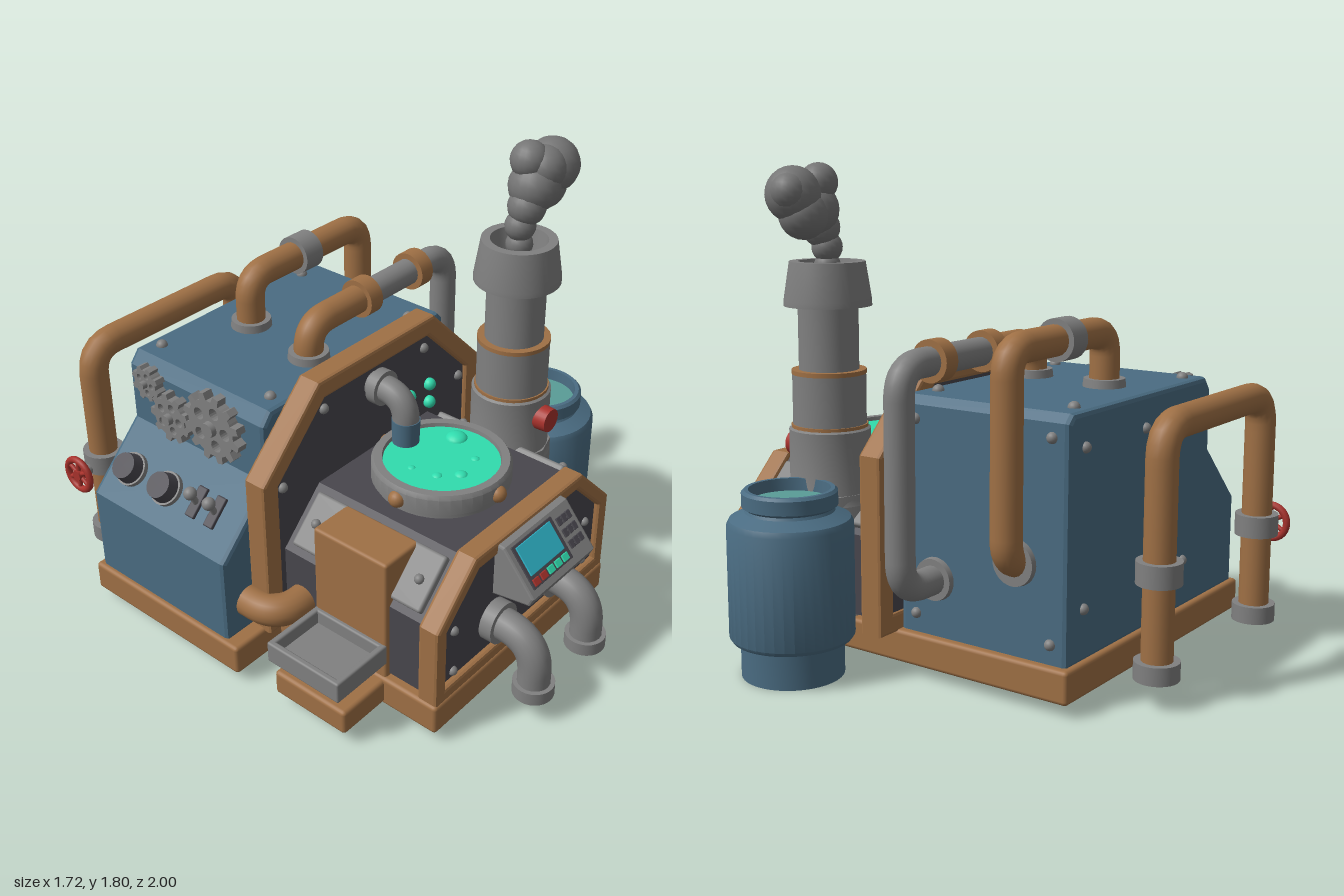
import * as THREE from 'three';
import { toCreasedNormals } from 'three/addons/utils/BufferGeometryUtils.js';
import { RoundedBoxGeometry } from 'three/addons/geometries/RoundedBoxGeometry.js';

const V = (x, y, z) => new THREE.Vector3(x, y, z);
const mat = (name, color, side = THREE.FrontSide) => {
  const m = new THREE.MeshStandardMaterial({ color, side });
  m.name = name;
  return m;
};

export function createModel() {
  const root = new THREE.Group();
  const brown = mat('copper brown', 0x9f7045), blue = mat('steel blue', 0x4a6c82);
  const grey = mat('iron grey', 0x808080, THREE.DoubleSide), dark = mat('dark panel', 0x48464d);
  const green = mat('glowing green', 0x30dcae), red = mat('valve red', 0xa8322c);
  const cyan = mat('screen cyan', 0x2fb4c8), murky = mat('murky teal', 0x5a9c97);
  const smokeGrey = mat('smoke grey', 0x757575);

  const add = (name, geo, m, x = 0, y = 0, z = 0, parent = root) => {
    const mesh = new THREE.Mesh(geo, m);
    mesh.name = name;
    mesh.position.set(x, y, z);
    parent.add(mesh);
    return mesh;
  };
  // rounded box given by its minimum and maximum corners
  const box = (name, m, x0, x1, y0, y1, z0, z1, r = 0.015, parent = root) =>
    add(name, new RoundedBoxGeometry(x1 - x0, y1 - y0, z1 - z0, 2, r), m,
      (x0 + x1) / 2, (y0 + y1) / 2, (z0 + z1) / 2, parent);
  // cylinder centred on a point, along an axis
  const cyl = (name, m, r0, r1, h, p, axis = V(0, 1, 0), parent = root, sides = 28) => {
    const mesh = add(name, new THREE.CylinderGeometry(r1, r0, h, sides), m, ...p, parent);
    mesh.quaternion.setFromUnitVectors(V(0, 1, 0), axis.clone().normalize());
    return mesh;
  };
  const lathe = (name, m, pts, x, y, z, sides = 40) =>
    add(name, toCreasedNormals(new THREE.LatheGeometry(pts.map(p => new THREE.Vector2(...p)), sides), 0.6), m, x, y, z);
  const ball = (name, m, r, x, y, z, parent = root) =>
    add(name, new THREE.SphereGeometry(r, 18, 12), m, x, y, z, parent);
  const extrude = (name, m, shape, z0, z1, bevel = 0, parent = root) => {
    const geo = new THREE.ExtrudeGeometry(shape, {
      depth: z1 - z0 - 2 * bevel, bevelEnabled: bevel > 0, bevelThickness: bevel,
      bevelSize: bevel, bevelOffset: -bevel, bevelSegments: 2, curveSegments: 8 });
    return add(name, geo, m, 0, 0, z0 + bevel, parent);
  };
  const poly = pts => pts.map(p => new THREE.Vector2(...p));
  // pipe through corner points, each corner rounded
  const pipe = (name, m, pts, r, bend = 0.12) => {
    const path = new THREE.CurvePath();
    let from = pts[0];
    for (let i = 1; i < pts.length - 1; i++) {
      const c = pts[i];
      const a = c.clone().add(pts[i - 1].clone().sub(c).setLength(bend));
      const b = c.clone().add(pts[i + 1].clone().sub(c).setLength(bend));
      if (from.distanceTo(a) > 1e-4) path.add(new THREE.LineCurve3(from, a));
      path.add(new THREE.QuadraticBezierCurve3(a, c, b));
      from = b;
    }
    path.add(new THREE.LineCurve3(from, pts[pts.length - 1]));
    return add(name, new THREE.TubeGeometry(path, 70, r, 18), m);
  };
  const X = V(1, 0, 0), Z = V(0, 0, 1);

  // Base slabs
  box('rearBase', brown, -0.85, 0.43, 0.05, 0.17, -0.745, 0.03);
  box('frontBase', brown, -0.62, 0.43, 0.05, 0.17, 0, 0.76);
  box('trayBase', brown, -0.83, -0.55, 0.06, 0.16, 0.2, 0.53);

  // Rear housing with sloped console on its side
  extrude('rearHousing', blue, new THREE.Shape(poly([[-0.83, 0.16], [0.4, 0.16], [0.4, 0.99], [0.37, 1.02],
    [-0.56, 1.02], [-0.6, 0.97], [-0.6, 0.74], [-0.83, 0.51]])), -0.725, -0.03, 0.018);
  for (const z of [-0.66, -0.1]) {
    for (const x of [-0.49, 0.27]) ball('roofRivet', grey, 0.022, x, 1.02, z);
    for (const y of [0.24, 0.94]) ball('sideRivet', grey, 0.02, 0.4, y, z);
  }
  for (const x of [-0.4, -0.1, 0.3]) for (const y of [0.35, 0.9]) ball('backRivet', grey, 0.02, x, y, -0.725);

  // Console knobs and levers
  const slope = V(-0.71, 0.71, 0);
  for (const z of [-0.6, -0.41]) {
    cyl('knobCollar', grey, 0.065, 0.065, 0.025, [-0.735, 0.615, z], slope);
    cyl('knob', dark, 0.06, 0.05, 0.06, [-0.755, 0.635, z], slope);
  }
  for (const z of [-0.26, -0.165]) {
    const b = box('leverPlate', dark, -0.8, -0.68, 0.6, 0.62, z - 0.022, z + 0.022, 0.005);
    b.rotation.z = Math.PI / 4;
    b.position.set(-0.725, 0.62, z);
    cyl('leverStick', grey, 0.012, 0.012, 0.07, [-0.74, 0.645, z], V(-0.4, 0.9, 0));
    ball('leverKnob', grey, 0.025, -0.755, 0.675, z);
  }

  // Gears on the console wall
  const gear = (z, y, r, teeth) => {
    const pts = [];
    for (let i = 0; i < teeth; i++) {
      [[0, 0.8], [0.25, 0.8], [0.35, 1], [0.7, 1], [0.85, 0.8]].forEach(([t, k]) => {
        const a = (i + t) / teeth * Math.PI * 2;
        pts.push([Math.cos(a) * r * k, Math.sin(a) * r * k]);
      });
    }
    const shape = new THREE.Shape(poly(pts));
    for (let i = 0; i < 5; i++) {
      const a = i / 5 * Math.PI * 2;
      shape.holes.push(new THREE.Path().absarc(Math.cos(a) * r * 0.5, Math.sin(a) * r * 0.5, r * 0.17, 0, 7, true));
    }
    const g = new THREE.Group();
    g.name = 'gear';
    extrude('gearDisc', grey, shape, 0, 0.04, 0, g);
    cyl('gearHub', grey, r * 0.25, r * 0.2, 0.06, [0, 0, 0.03], Z, g);
    g.rotation.y = -Math.PI / 2;
    g.position.set(-0.605, y, z);
    root.add(g);
  };
  gear(-0.25, 0.9, 0.14, 12);
  gear(-0.47, 0.85, 0.1, 9);
  gear(-0.59, 0.95, 0.07, 8);

  // Chamfered profile, optionally inset by t, centred on x = -0.09
  const profile = (w, y1, c, t = 0) => {
    const k = 0.41 * t, y0 = 0.16 + t;
    const half = [[w - t, y0], [w - t, y1 - c - k], [w - c - k, y1 - t]];
    return poly([...half.map(([x, y]) => [x - 0.09, y]), ...half.reverse().map(([x, y]) => [-x - 0.09, y])]);
  };
  const frame = (name, w, y1, c, t, z0, z1) => {
    const s = new THREE.Shape(profile(w, y1, c));
    s.holes.push(new THREE.Path(profile(w, y1, c, t)));
    extrude(name, brown, s, z0, z1, 0.012);
  };

  // Dividing wall and front housing, each dark inside a copper frame
  frame('wallFrame', 0.61, 1.1, 0.29, 0.075, -0.035, 0.06);
  extrude('wallPanel', dark, new THREE.Shape(profile(0.61, 1.1, 0.29, 0.05)), -0.025, 0.04);
  frame('frontFrame', 0.52, 0.69, 0.2, 0.055, 0.67, 0.755);
  extrude('frontHousing', dark, new THREE.Shape(profile(0.52, 0.69, 0.2, 0.02)), 0.03, 0.73);
  for (const s of [-1, 1]) {
    for (const y of [0.24, 0.42]) ball('frontRivet', grey, 0.018, -0.09 + s * 0.4, y, 0.73);
    ball('wallRivet', grey, 0.02, -0.09 + s * 0.28, 0.97, 0.04);
    ball('wallRivet', grey, 0.02, -0.09 + s * 0.5, 0.75, 0.04);
    // riveted plates on the sloped shoulders
    const plate = box('shoulderPlate', grey, 0, 0.21, 0, 0.04, 0.07, 0.655, 0.01);
    plate.position.x = -0.09 + s * 0.41;
    plate.position.y = 0.58;
    plate.rotation.z = -s * Math.PI / 4;
    for (const z of [0.13, 0.6]) ball('plateRivet', grey, 0.018, -0.09 + s * 0.43, 0.595, z);
  }
  for (const [x, y] of [[0.1, 0.8], [0.22, 0.8], [0.1, 0.72], [0.22, 0.72]]) ball('wallLamp', green, 0.025, x, y, 0.05);

  // Chute and output tray
  box('chute', brown, -0.61, -0.43, 0.15, 0.665, 0.2, 0.53, 0.012);
  box('trayFloor', grey, -0.86, -0.6, 0.23, 0.26, 0.2, 0.53, 0.008);
  for (const z of [0.2, 0.505]) box('traySide', grey, -0.86, -0.6, 0.23, 0.315, z, z + 0.025, 0.008);
  for (const x of [-0.86, -0.625]) box('trayEnd', grey, x, x + 0.025, 0.23, 0.315, 0.2, 0.53, 0.008);
  pipe('sideElbow', brown, [V(-0.72, 0.29, -0.06), V(-0.72, 0.29, 0.12), V(-0.56, 0.29, 0.12)], 0.06, 0.11);

  // Vat with glowing liquid
  lathe('vatRim', grey, [[0.24, 0], [0.24, 0.015], [0.255, 0.025], [0.255, 0.085], [0.245, 0.1], [0.215, 0.1], [0.21, 0.07], [0.21, 0]], -0.11, 0.68, 0.37);
  cyl('vatLiquid', green, 0.213, 0.213, 0.04, [-0.11, 0.745, 0.37]);
  for (let i = 0; i < 4; i++) {
    const a = i * Math.PI / 2;
    ball('vatBolt', brown, 0.032, -0.11 + Math.cos(a) * 0.25, 0.73, 0.37 + Math.sin(a) * 0.25);
  }
  for (const [x, z, r] of [[0.035, 0.325, 0.042], [-0.2, 0.42, 0.02], [-0.14, 0.48, 0.025], [-0.03, 0.46, 0.018], [-0.22, 0.32, 0.016]])
    ball('bubble', green, r, x, 0.76, z).scale.y = 0.6;
  pipe('spout', grey, [V(-0.1, 0.95, 0.04), V(-0.1, 0.95, 0.195), V(-0.1, 0.84, 0.195)], 0.05, 0.1);
  cyl('spoutFlange', grey, 0.068, 0.068, 0.04, [-0.1, 0.95, 0.08], Z);
  cyl('spoutTip', blue, 0.05, 0.053, 0.1, [-0.1, 0.81, 0.195]);

  // Control panel
  const side = new THREE.Shape(poly([[-0.74, 0.46], [-0.74, 0.68], [-0.78, 0.675], [-0.91, 0.52], [-0.895, 0.485]]));
  const desk = extrude('controlDesk', grey, side, 0, 0.38, 0.008);
  desk.rotation.y = Math.PI / 2;
  desk.position.set(-0.282, 0, 0);
  const face = new THREE.Group();
  face.name = 'controlFace';
  face.position.set(-0.1, 0.5975, 0.845);
  face.rotation.x = -Math.atan2(0.13, 0.155);
  root.add(face);
  box('screenBezel', dark, -0.165, 0.07, -0.075, 0.09, 0, 0.006, 0.002, face);
  box('screen', cyan, -0.15, 0.05, -0.03, 0.08, 0.004, 0.011, 0.002, face);
  [red, red, green, green, green].forEach((m, i) =>
    box('button', m, -0.155 + i * 0.043, -0.122 + i * 0.043, -0.068, -0.042, 0.003, 0.012, 0.002, face));
  for (let i = 0; i < 3; i++) for (let j = 0; j < 3; j++)
    box('key', dark, 0.085 + i * 0.028, 0.107 + i * 0.028, -0.05 + j * 0.045, -0.02 + j * 0.045, 0, 0.008, 0.002, face);

  // Front outlet pipes
  for (const x of [-0.265, 0.065]) {
    pipe('outletPipe', grey, [V(x, 0.33, 0.72), V(x, 0.33, 0.92), V(x, 0.11, 0.92)], 0.06, 0.14);
    cyl('outletCollar', grey, 0.08, 0.08, 0.05, [x, 0.33, 0.755], Z);
    cyl('outletFlange', grey, 0.076, 0.076, 0.05, [x, 0.125, 0.92]);
  }

  // Chimney
  cyl('chimneySkirt', grey, 0.175, 0.16, 0.46, [0.35, 0.39, 0.34], V(0, 1, 0), root, 10);
  lathe('chimneyStack', grey, [[0.16, 0.58], [0.15, 0.61], [0.15, 0.85], [0.135, 0.86], [0.135, 1.055], [0.11, 1.065],
    [0.11, 1.3], [0.16, 1.3], [0.16, 1.32], [0.138, 1.46], [0.105, 1.46], [0.09, 1.36], [0, 1.36]], 0.35, 0, 0.34);
  cyl('lowerBand', brown, 0.141, 0.141, 0.016, [0.35, 0.86, 0.34]);
  cyl('upperBand', brown, 0.137, 0.137, 0.016, [0.35, 1.06, 0.34]);
  cyl('alarmButton', red, 0.05, 0.046, 0.06, [0.345, 0.77, 0.5], Z);

  // Smoke plume
  for (const [x, y, z, r] of [[0.35, 1.44, 0.34, 0.05], [0.35, 1.51, 0.34, 0.057], [0.37, 1.58, 0.35, 0.07], [0.41, 1.645, 0.35, 0.095],
    [0.47, 1.63, 0.34, 0.09], [0.5, 1.7, 0.36, 0.1], [0.54, 1.71, 0.34, 0.068], [0.4, 1.74, 0.33, 0.07], [0.44, 1.71, 0.37, 0.08]])
    ball('smokePuff', smokeGrey, r, x, y, z);

  // Canister
  lathe('canister', blue, [[0, 0.005], [0.185, 0.005], [0.185, 0.13], [0.215, 0.14], [0.225, 0.155], [0.225, 0.56], [0.215, 0.58],
    [0.16, 0.605], [0.155, 0.615], [0.17, 0.625], [0.17, 0.675], [0.16, 0.685], [0.145, 0.685], [0.14, 0.6]], 0.635, 0, 0.28);
  cyl('canisterLiquid', murky, 0.143, 0.143, 0.02, [0.635, 0.63, 0.28]);

  // Rear overhead pipe, from roof to side
  pipe('rearPipe', brown, [V(-0.16, 1, -0.52), V(-0.16, 1.22, -0.52), V(0.455, 1.22, -0.52), V(0.455, 0.5, -0.52), V(0.36, 0.5, -0.52)], 0.055, 0.09);
  cyl('rearPipeBand', grey, 0.075, 0.075, 0.09, [0.125, 1.22, -0.52], X);
  cyl('rearPipeFoot', grey, 0.08, 0.075, 0.04, [-0.16, 1.03, -0.52]);
  cyl('rearPipeSocket', grey, 0.085, 0.08, 0.03, [0.405, 0.5, -0.52], X);

  // Middle overhead pipe, copper then iron
  pipe('middlePipe', brown, [V(-0.2, 1, -0.185), V(-0.2, 1.15, -0.185), V(0.1, 1.15, -0.185)], 0.055, 0.1);
  pipe('middlePipeDrop', grey, [V(0.1, 1.15, -0.185), V(0.595, 1.15, -0.185), V(0.595, 0.38, -0.185), V(0.36, 0.38, -0.185)], 0.052, 0.11);
  for (const x of [0.1, 0.4]) cyl('middlePipeBand', brown, 0.075, 0.075, 0.065, [x, 1.15, -0.185], X);
  cyl('middlePipeFoot', grey, 0.08, 0.075, 0.04, [-0.2, 1.03, -0.185]);
  cyl('middlePipeSocket', grey, 0.08, 0.075, 0.03, [0.405, 0.38, -0.185], X);

  // Arched pipe behind, with a hand valve
  pipe('archPipe', brown, [V(-0.62, 0.12, -0.92), V(-0.62, 0.965, -0.92), V(0.14, 0.965, -0.92), V(0.14, 0.12, -0.92)], 0.056, 0.11);
  for (const x of [-0.62, 0.14]) {
    cyl('archFlange', grey, 0.08, 0.08, 0.065, [x, 0.135, -0.92]);
    cyl('archBand', grey, 0.08, 0.08, 0.08, [x, 0.475, -0.92]);
  }
  cyl('valveStem', grey, 0.02, 0.02, 0.16, [-0.68, 0.455, -0.92], X);
  const wheel = add('valveWheel', new THREE.TorusGeometry(0.065, 0.014, 10, 28), red, -0.75, 0.455, -0.92);
  wheel.rotation.y = Math.PI / 2;
  cyl('valveHub', red, 0.022, 0.022, 0.03, [-0.75, 0.455, -0.92], X);
  for (let i = 0; i < 3; i++) {
    const a = i * Math.PI / 3;
    cyl('valveSpoke', red, 0.009, 0.009, 0.13, [-0.75, 0.455, -0.92], V(0, Math.cos(a), Math.sin(a)));
  }
  return root;
}
